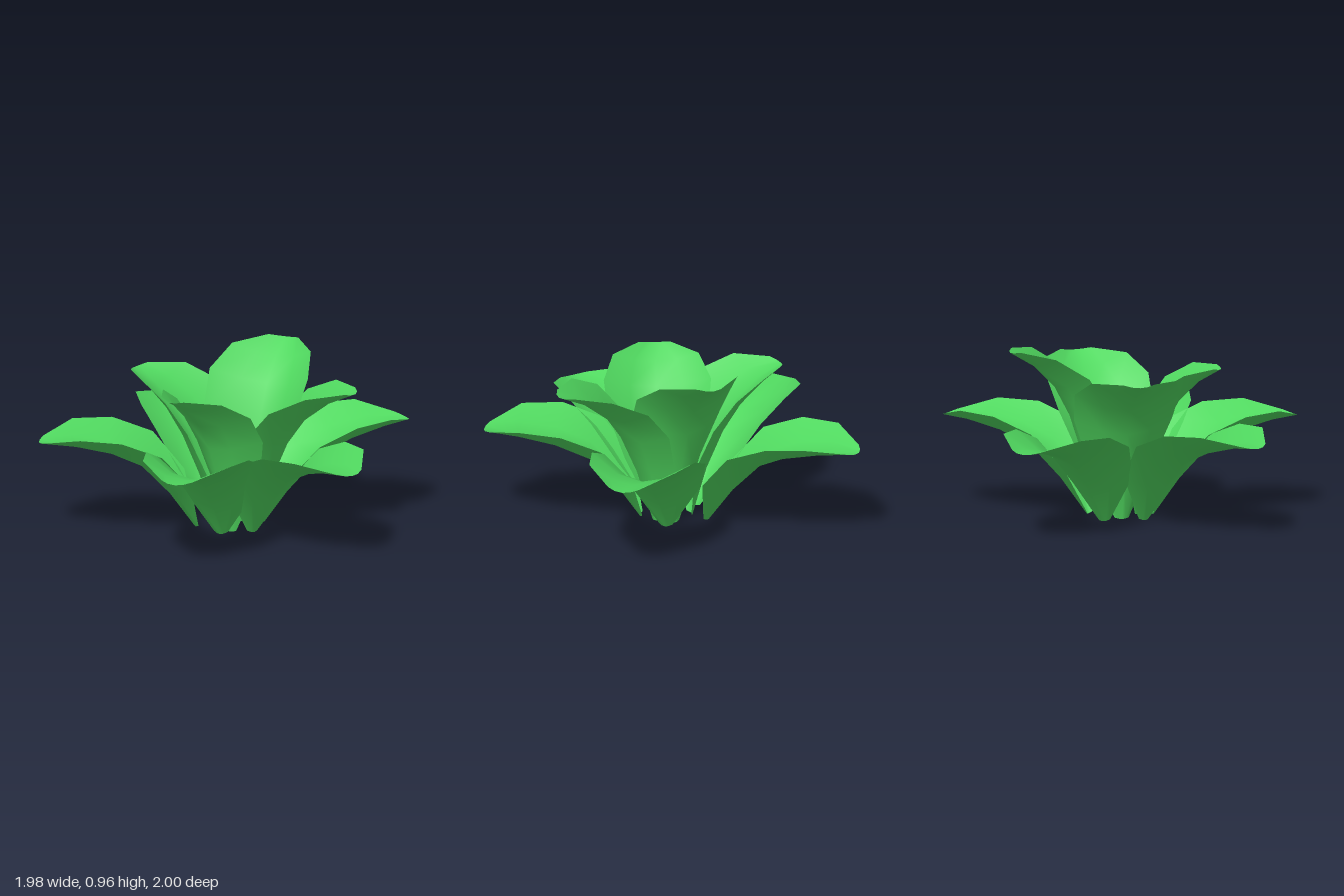
import * as THREE from 'three';

const green = new THREE.MeshStandardMaterial({ color: 0x50d85f, side: THREE.DoubleSide });

// Rows from base to tip: [distance out 0..1, height 0..1, half width, cup depth]
const outerRows = [
  [0, 0, 0.04, 0.02], [0.16, 0.38, 0.22, 0.13], [0.34, 0.7, 0.295, 0.15],
  [0.55, 0.86, 0.3, 0.135], [0.78, 0.96, 0.25, 0.09], [0.965, 1, 0.09, 0.015],
];
const innerRows = [
  [0, 0, 0.04, 0.02], [0.16, 0.34, 0.19, 0.14], [0.32, 0.6, 0.28, 0.16],
  [0.49, 0.77, 0.3, 0.14], [0.73, 0.9, 0.24, 0.09], [0.95, 0.985, 0.09, 0.015],
];
const COLS = 4;

// A cupped sheet following a midrib curve; it grows along +z and its edges lift along the normal
function petalGeometry(rows, base, reach, height) {
  const rib = rows.map(([u, v]) => new THREE.Vector2(base + (reach - base) * u, height * v));
  const pos = [], index = [];
  rows.forEach(([, , half, cup], i) => {
    const last = rows.length - 1;
    const t = rib[Math.min(i + 1, last)].clone().sub(rib[Math.max(i - 1, 0)]).normalize();
    for (let j = 0; j <= COLS; j++) {
      const s = (j / COLS) * 2 - 1;
      const lift = cup * s * s;
      const point = i === last ? (reach - rib[i].x) * (1 - s * s) : 0; // rounded tip
      pos.push(half * s, rib[i].y + t.x * lift, rib[i].x - t.y * lift + point);
    }
  });
  const w = COLS + 1;
  for (let i = 0; i < rows.length - 1; i++) {
    for (let j = 0; j < COLS; j++) {
      const a = i * w + j;
      index.push(a, a + w, a + 1, a + 1, a + w, a + w + 1);
    }
  }
  const g = new THREE.BufferGeometry();
  g.setAttribute('position', new THREE.Float32BufferAttribute(pos, 3));
  g.setIndex(index);
  g.computeVertexNormals();
  return g;
}

function addRing(parent, name, rows, base, petals) {
  const ring = new THREE.Group();
  ring.name = name;
  petals.forEach(([angle, reach, height, x, z], i) => {
    const petal = new THREE.Mesh(petalGeometry(rows, base, reach, height), green);
    petal.name = `${name}Leaf${i + 1}`;
    petal.rotation.y = THREE.MathUtils.degToRad(angle);
    petal.position.set(x, 0, z);
    ring.add(petal);
  });
  parent.add(ring);
}

export function createModel() {
  const model = new THREE.Group();
  model.name = 'leafRosette';
  // Each leaf: angle from the front, reach, height, root x, root z
  addRing(model, 'outerRing', outerRows, 0.2, [
    [-12, 1.07, 0.505, 0.02, -0.05],
    [63, 1.08, 0.505, 0.01, -0.05],
    [148.5, 1.095, 0.505, 0.01, -0.05],
    [224, 1.075, 0.505, 0.01, -0.05],
    [292, 1.07, 0.505, 0.01, -0.05],
  ]);
  addRing(model, 'innerRing', innerRows, 0.12, [
    [17.5, 0.72, 0.84, 0.03, -0.03],
    [189, 0.65, 0.84, 0.02, -0.03],
    [262, 0.58, 0.84, 0.02, 0.04],
    [105, 0.63, 0.96, 0.02, 0.01],
  ]);
  return model;
}
